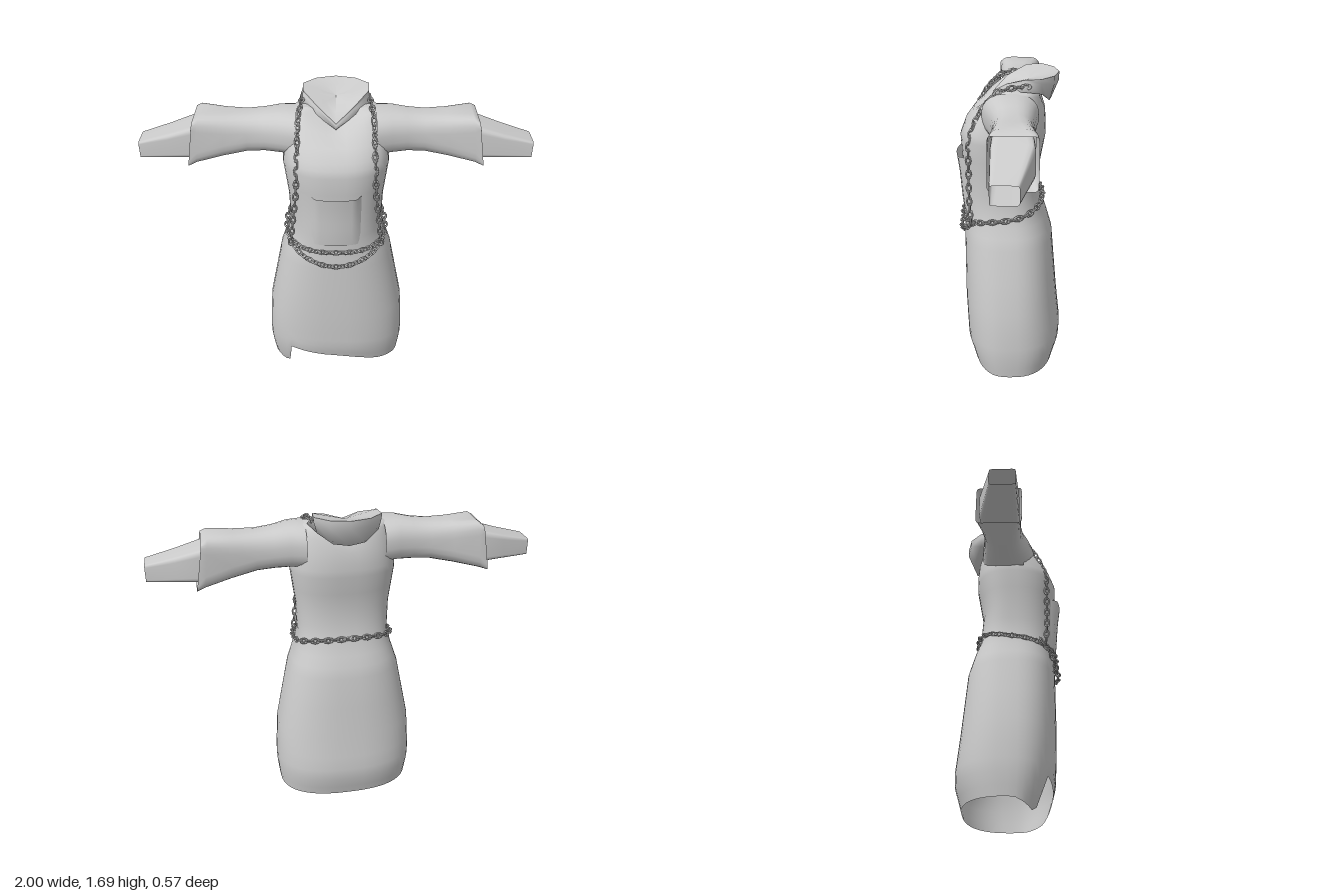
import * as THREE from 'three';
import { mergeGeometries } from 'three/addons/utils/BufferGeometryUtils.js';

const cloth = new THREE.MeshStandardMaterial({ color: 0xcccccc, side: THREE.DoubleSide });
cloth.name = 'light grey';

const SIDES = 48;

// Robe cross-sections: height, half width, front depth, back depth
const PROFILE = [
  [0, 0.36, 0.17, 0.24], [0.06, 0.375, 0.2, 0.25], [0.2, 0.39, 0.24, 0.29],
  [0.45, 0.375, 0.25, 0.262], [0.8, 0.305, 0.25, 0.23], [0.92, 0.265, 0.245, 0.195],
  [1.0, 0.245, 0.25, 0.165], [1.17, 0.25, 0.25, 0.15], [1.37, 0.275, 0.262, 0.185],
  [1.44, 0.27, 0.235, 0.185], [1.5, 0.265, 0.19, 0.18], [1.57, 0.25, 0.12, 0.165],
  [1.62, 0.22, 0.05, 0.15], [1.64, 0.15, 0, 0.13], [1.645, 0, 0, 0.06],
];
// Hem height by angle (0 is the front); the right front corner hangs down
const HEM = [
  [-3.2, 0.05], [-1.5, 0.05], [-0.916, 0], [-0.785, 0.02], [-0.654, 0.18],
  [0, 0.13], [0.6, 0.065], [1.2, 0.05], [3.2, 0.05],
];

// Linear lookup in a table sorted by its first column
function lookup(table, t) {
  let i = 0;
  while (i < table.length - 2 && t > table[i + 1][0]) i++;
  const a = table[i], b = table[i + 1];
  const k = THREE.MathUtils.clamp((t - a[0]) / (b[0] - a[0]), 0, 1);
  return a.slice(1).map((v, j) => v + (b[j + 1] - v) * k);
}

const bend = (v, p) => Math.sign(v) * Math.pow(Math.abs(v), p);

// Point on the robe at an angle and height, pushed out by gap
function robePoint(angle, y, gap = 0) {
  const [w, f, b] = lookup(PROFILE, y);
  const s = Math.sin(angle), c = Math.cos(angle);
  return new THREE.Vector3(bend(s, 0.8) * (w + gap), y, bend(c, 0.8) * ((c > 0 ? f : b) + gap));
}

// Skin between rows of points, with optional missing cells
function loft(rows, closed = true, skip = () => false) {
  const n = rows[0].length, index = [];
  for (let r = 0; r < rows.length - 1; r++) {
    for (let i = 0; i < (closed ? n : n - 1); i++) {
      if (skip(r, i)) continue;
      const j = (i + 1) % n, a = r * n + i, b = r * n + j;
      index.push(a, b, a + n, b, b + n, a + n);
    }
  }
  const g = new THREE.BufferGeometry().setFromPoints(rows.flat());
  g.setIndex(index);
  g.computeVertexNormals();
  return g;
}

function add(group, name, geometry) {
  const mesh = new THREE.Mesh(geometry, cloth);
  mesh.name = name;
  group.add(mesh);
}

// Skirt and torso in one skin, open at the hem and armholes, dipped at the neck
function robeBody() {
  const angles = Array.from({ length: SIDES }, (_, i) => -Math.PI + (i * 2 * Math.PI) / SIDES);
  const rows = [1, 0.8, 0.55, 0.3].map(t => angles.map(a =>
    robePoint(a, THREE.MathUtils.lerp(0.32, lookup(HEM, a)[0], t))));
  const heights = [0.32, 0.45, 0.62, 0.8, 0.86, 0.92, 1, 1.08, 1.17, 1.27, 1.37,
    1.405, 1.44, 1.5, 1.57, 1.6, 1.62, 1.64, 1.645];
  heights.forEach(y => rows.push(angles.map(a => {
    const p = robePoint(a, y);
    p.y -= 0.045 * THREE.MathUtils.smoothstep(y, 1.5, 1.6) * Math.max(0, 1 - Math.abs(p.x) / 0.17);
    return p;
  })));
  return loft(rows, true, (r, i) => {
    const y = rows[r][i].y;
    return y > 1.4 && y < 1.56 && Math.abs(Math.cos(angles[i] + Math.PI / SIDES)) < 0.28;
  });
}

// Sleeve ring list: x, bottom, top, back, front, squareness, slant of the end
function sleeve(rings, side, count) {
  return loft(rings.map(([x, y0, y1, z0, z1, p, slant]) =>
    Array.from({ length: count }, (_, i) => {
      const a = ((i + 0.5) / count) * Math.PI * 2;
      const u = bend(Math.cos(a), p), v = bend(Math.sin(a), p);
      return new THREE.Vector3(side * (x - slant * v),
        (y0 + y1) / 2 + (v * (y1 - y0)) / 2, (z0 + z1) / 2 + (u * (z1 - z0)) / 2);
    })));
}
const UPPER = [
  [0.2, 1.395, 1.625, -0.15, 0.14, 0.8, 0], [0.28, 1.4, 1.625, -0.14, 0.115, 0.8, 0],
  [0.36, 1.4, 1.61, -0.13, 0.088, 0.8, 0], [0.45, 1.395, 1.6, -0.125, 0.075, 0.75, 0],
  [0.57, 1.37, 1.6, -0.135, 0.075, 0.6, 0.01], [0.7, 1.342, 1.605, -0.152, 0.08, 0.4, 0.015],
  [0.737, 1.335, 1.58, -0.15, 0.083, 0.15, 0.02],
];
const LOWER = [
  [0.62, 1.375, 1.57, -0.13, 0.07, 0.4, 0], [0.72, 1.375, 1.545, -0.135, 0.07, 0.25, 0],
  [0.85, 1.375, 1.505, -0.105, 0.065, 0.25, 0], [1.0, 1.375, 1.465, -0.07, 0.058, 0.2, 0],
];

// Full ring from its left half, running front to back
function mirrorRing(half) {
  const pts = half.map(p => new THREE.Vector3(...p));
  const other = pts.slice(1, -1).reverse().map(p => new THREE.Vector3(-p.x, p.y, p.z));
  return [...pts, ...other];
}

const RIM = mirrorRing([[0, 1.585, 0.09], [0.09, 1.645, 0.02], [0.165, 1.685, -0.08],
  [0.17, 1.69, -0.16], [0.1, 1.69, -0.225], [0, 1.69, -0.25]]);
const FOLD = mirrorRing([[0, 1.56, 0.1], [0.1, 1.605, 0.03], [0.19, 1.63, -0.07],
  [0.155, 1.61, -0.165], [0.08, 1.56, -0.2], [0, 1.55, -0.21]]);
const BASE = mirrorRing([[0, 1.54, 0.07], [0.09, 1.59, 0.01], [0.15, 1.62, -0.06],
  [0.12, 1.62, -0.11], [0.06, 1.605, -0.135], [0, 1.6, -0.14]]);

// Pocket bulging from the front, its sides sunk into the robe
function pocket() {
  const rows = [];
  for (let r = 0; r <= 6; r++) {
    const y = 0.96 + r * 0.05, out = 0.008 + 0.024 * (r / 6);
    const row = [];
    for (let i = 0; i <= 10; i++) {
      const u = i / 5 - 1;
      const front = lookup(PROFILE, y)[1];
      const z = Math.abs(u) === 1 ? front - 0.03 : front + out - 0.026 * u * u;
      row.push(new THREE.Vector3(u * 0.135, y, z));
    }
    rows.push(row);
  }
  return loft(rows, false);
}

// Links set along a curve, each turned a quarter from the last
function chain(points, closed = false) {
  const curve = new THREE.CatmullRomCurve3(points, closed);
  let count = Math.round(curve.getLength() / 0.036);
  if (closed) count += count % 2;
  const links = [], m = new THREE.Matrix4();
  const forward = new THREE.Vector3(1, 0, 0);
  for (let i = 0; i < count; i++) {
    const t = closed ? i / count : (i + 0.5) / count;
    const g = new THREE.TorusGeometry(0.0125, 0.005, 4, 8);
    g.scale(1.75, 1, 1);
    g.rotateX((i % 2) * Math.PI / 2);
    const q = new THREE.Quaternion().setFromUnitVectors(forward, curve.getTangentAt(t));
    g.applyMatrix4(m.compose(curve.getPointAt(t), q, new THREE.Vector3(1, 1, 1)));
    links.push(g);
  }
  return mergeGeometries(links);
}

export function createModel() {
  const model = new THREE.Group();
  model.name = 'robe';

  add(model, 'robeBody', robeBody());
  add(model, 'frontPocket', pocket());
  for (const [side, label] of [[1, 'left'], [-1, 'right']]) {
    add(model, label + 'Sleeve', sleeve(UPPER, side, 24));
    add(model, label + 'InnerSleeve', sleeve(LOWER, side, 16));
  }

  // Collar: folded outside with a bulge, and a shallow lining
  const bulge = RIM.map((p, i) => new THREE.Vector3(p.x, p.y + (FOLD[i].y - p.y) * 0.3, p.z));
  add(model, 'collar', loft([BASE, FOLD, bulge, RIM]));
  const lining = k => RIM.map(p =>
    new THREE.Vector3(p.x * k, 1.652 + (p.y - 1.652) * k, -0.1 + (p.z + 0.1) * k));
  add(model, 'collarLining', loft([RIM, lining(0.6), lining(0)]));

  // Waist chain, higher at the back
  const belt = Array.from({ length: 24 }, (_, i) => {
    const a = (i / 24) * Math.PI * 2;
    return robePoint(a, 0.965 - 0.05 * Math.cos(a), 0.012);
  });
  add(model, 'waistChain', chain(belt, true));

  // Hanging loop across the front
  const loop = [[-0.25, 0.95, 0.17], [-0.19, 0.89, 0.225], [-0.1, 0.845, 0.255], [0, 0.83, 0.268],
    [0.1, 0.845, 0.255], [0.19, 0.89, 0.225], [0.25, 0.95, 0.17]];
  add(model, 'frontLoopChain', chain(loop.map(p => new THREE.Vector3(...p))));

  // Shoulder chains from the waist to under the collar
  for (const [side, label] of [[1, 'left'], [-1, 'right']]) {
    const path = [[0.24, 0.93, 0.2], [0.228, 1.05, 0.207], [0.21, 1.2, 0.21], [0.197, 1.37, 0.205],
      [0.193, 1.48, 0.172], [0.19, 1.57, 0.118], [0.183, 1.63, 0.05], [0.175, 1.648, -0.03],
      [0.172, 1.652, -0.1]];
    add(model, label + 'ShoulderChain',
      chain(path.map(([x, y, z]) => new THREE.Vector3(side * x, y, z))));
  }
  return model;
}
